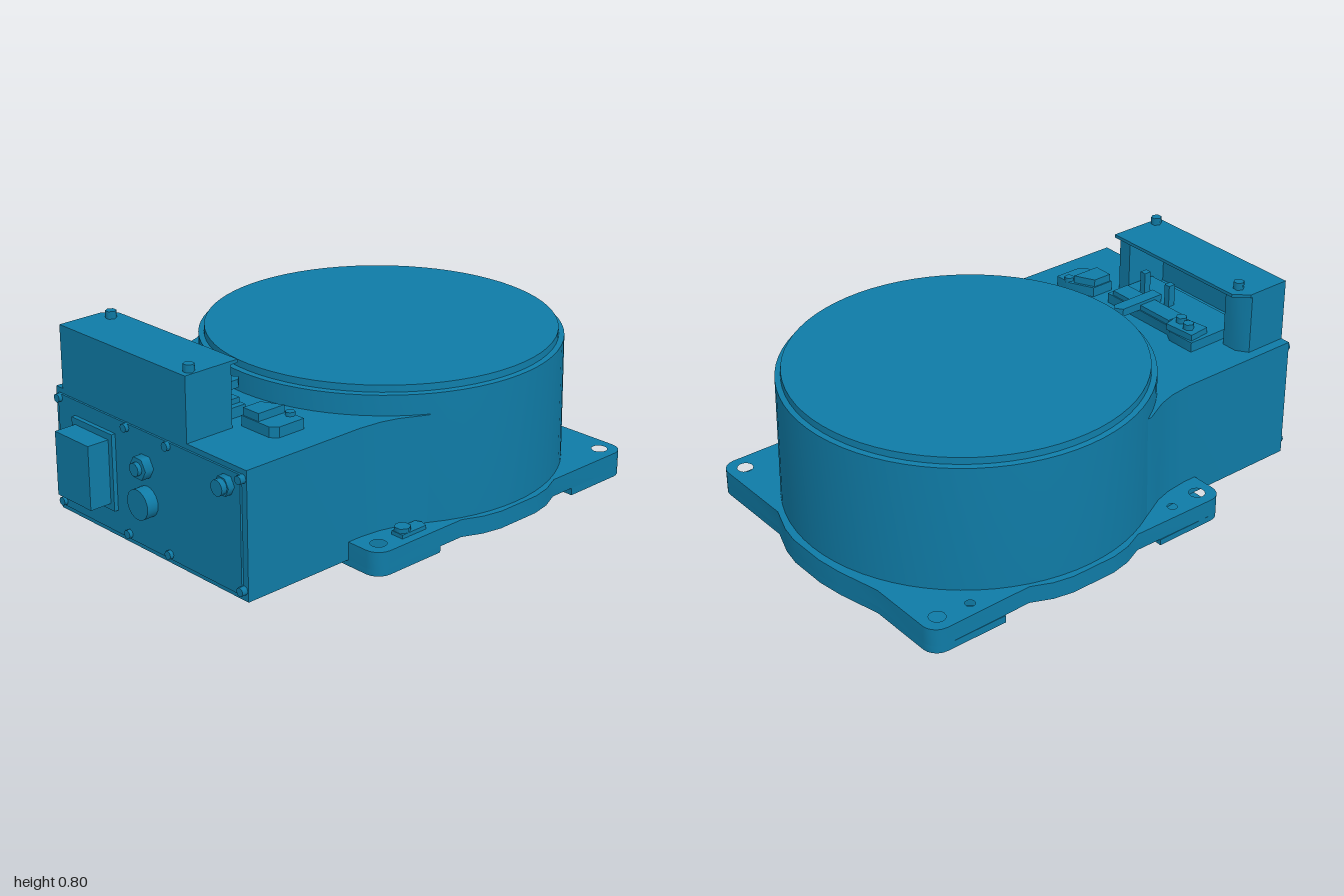
import * as THREE from 'three';
import { toCreasedNormals } from 'three/addons/utils/BufferGeometryUtils.js';

const material = new THREE.MeshStandardMaterial({ color: 0x0f7ba6 });
const CX = 0.265, CZ = -0.012; // drum axis

export function createModel() {
  const root = new THREE.Group();

  const add = (name, geometry, parent = root) => {
    const mesh = new THREE.Mesh(geometry, material);
    mesh.name = name;
    parent.add(mesh);
    return mesh;
  };
  const group = (name) => {
    const g = new THREE.Group();
    g.name = name;
    root.add(g);
    return g;
  };
  // box given by its limits on each axis
  const block = (name, x0, x1, y0, y1, z0, z1, parent) =>
    add(name, new THREE.BoxGeometry(x1 - x0, y1 - y0, z1 - z0)
      .translate((x0 + x1) / 2, (y0 + y1) / 2, (z0 + z1) / 2), parent);
  // plan outline [x, z] raised from y0 to y1, with round holes [x, z, r]
  const slab = (name, pts, y0, y1, parent, holes = []) => {
    const shape = new THREE.Shape(pts.map(([x, z]) => new THREE.Vector2(x, -z)));
    for (const [x, z, r] of holes) {
      shape.holes.push(new THREE.Path().absarc(x, -z, r, 0, Math.PI * 2, true));
    }
    const g = new THREE.ExtrudeGeometry(shape, { depth: y1 - y0, bevelEnabled: false, curveSegments: 8 });
    g.rotateX(-Math.PI / 2).translate(0, y0, 0);
    return add(name, toCreasedNormals(g, 0.6), parent);
  };
  const upright = (name, x, z, r, y0, y1, sides, parent) =>
    add(name, new THREE.CylinderGeometry(r, r, y1 - y0, sides).translate(x, (y0 + y1) / 2, z), parent);
  // cylinder along x, for the connector face
  const sideways = (name, x0, x1, y, z, r, sides, parent) =>
    add(name, new THREE.CylinderGeometry(r, r, x1 - x0, sides).rotateZ(Math.PI / 2)
      .translate((x0 + x1) / 2, y, z), parent);
  const arc = (cx, cz, r, from, to, n) => Array.from({ length: n + 1 }, (_, i) => {
    const a = THREE.MathUtils.degToRad(from + (to - from) * i / n);
    return [cx + r * Math.cos(a), cz + r * Math.sin(a)];
  });

  // Drum with a stepped rim
  const profile = [[0, 0.03], [0.704, 0.03], [0.708, 0.1], [0.7, 0.598], [0.679, 0.601], [0.677, 0.627], [0, 0.627]]
    .map(([r, y]) => new THREE.Vector2(r, y));
  add('drum', toCreasedNormals(new THREE.LatheGeometry(profile, 72), 0.5)).position.set(CX, 0, CZ);

  // Base plate with rounded corners, bulged edges and mounting holes
  const R = 0.06, X0 = -0.415, X1 = 0.945, Z0 = -0.695, Z1 = 0.665;
  const backRight = arc(X1 - R, Z0 + R, R, -90, 0, 5);
  const frontRight = arc(X1 - R, Z1 - R, R, 0, 90, 5);
  const frontLeft = arc(X0 + R, Z1 - R, R, 90, 180, 5);
  const backLeft = arc(X0 + R, Z0 + R, R, 180, 270, 5);
  const rightBulge = [[X1, -0.37], [0.985, -0.2], [1, -0.09], [1, 0.07], [0.985, 0.15], [X1, 0.26]];
  const frontBulge = [[0.52, Z1], [0.44, 0.7], [0.36, 0.716], [0.17, 0.716], [0.09, 0.7], [0.01, Z1]];
  const backBulge = frontBulge.map(([x, z]) => [x, -0.025 - z]).reverse();
  const holes = [
    [-0.345, -0.625, 0.031], [0.875, -0.625, 0.031], [-0.345, 0.595, 0.031], [0.875, 0.595, 0.031],
    [-0.21, -0.635, 0.019], [0.74, -0.635, 0.019],
  ];
  const base = group('base');
  slab('basePlate', [...backBulge, ...backRight, ...rightBulge, ...frontRight,
    ...frontBulge, ...frontLeft, ...backLeft], 0.03, 0.1, base, holes);

  // Feet along both sides, cut away around the round underside
  const inner = arc(CX, CZ, 0.66, 56, -56, 20);
  const mirrorX = (pts) => pts.map(([x, z]) => [2 * CX - x, z]);
  slab('rightFoot', [[0.63, Z0], ...backRight, ...rightBulge, ...frontRight, [0.63, Z1], ...inner],
    0, 0.03, base, holes.filter((h) => h[0] > 0));
  slab('leftFoot', mirrorX([[0.63, Z0], ...backRight, ...frontRight, [0.63, Z1], ...inner]),
    0.006, 0.03, base, holes.filter((h) => h[0] < 0));

  // Small clamp on the front left corner
  slab('clampPad', [[-0.26, 0.575], [-0.14, 0.575], [-0.13, 0.6], [-0.14, 0.63], [-0.26, 0.63]], 0.1, 0.115, base);
  upright('clampBolt', -0.23, 0.6, 0.032, 0.1, 0.132, 6, base);

  // Rear housing flaring into the drum
  const flare = [[-0.885, 0.515], [-0.36, 0.515], [-0.27, 0.525], [-0.2, 0.545], [-0.1, 0.595], [0.1, 0.6]];
  slab('housing', [...flare, ...flare.map(([x, z]) => [x, -0.025 - z]).reverse()], 0.03, 0.52);

  // Connector face
  const face = group('connectorFace');
  block('facePanel', -0.893, -0.885, 0.05, 0.5, -0.52, 0.49, face);
  block('plugFlange', -0.91, -0.89, 0.14, 0.44, -0.42, -0.185, face);
  block('plug', -1, -0.9, 0.165, 0.415, -0.4, -0.205, face);
  sideways('roundSocket', -0.94, -0.885, 0.235, -0.01, 0.058, 20, face);
  sideways('upperNut', -0.93, -0.885, 0.37, -0.015, 0.045, 6, face);
  sideways('upperCap', -0.947, -0.93, 0.37, -0.015, 0.025, 12, face);
  sideways('cornerNut', -0.92, -0.885, 0.445, 0.425, 0.038, 6, face);
  sideways('cornerCap', -0.942, -0.92, 0.445, 0.425, 0.03, 12, face);
  for (const y of [0.07, 0.485]) {
    for (const z of [-0.51, -0.12, 0.11, 0.495]) sideways('faceScrew', -0.908, -0.885, y, z, 0.017, 8, face);
  }

  // Hood, open towards the drum
  const hood = group('hood');
  block('hoodBack', -0.885, -0.865, 0.52, 0.76, -0.5, 0.207, hood);
  block('hoodFrontEnd', -0.87, -0.68, 0.52, 0.76, 0.15, 0.207, hood);
  slab('hoodRearEnd', [[-0.87, -0.39], [-0.87, -0.5], [-0.71, -0.5], [-0.68, -0.455], [-0.68, -0.39]],
    0.52, 0.76, hood);
  slab('hoodTop', [[-0.885, 0.207], [-0.65, 0.207], [-0.65, -0.45], [-0.7, -0.5], [-0.885, -0.5]],
    0.755, 0.768, hood);
  for (const [x, z] of [[-0.845, 0.18], [-0.705, -0.43]]) {
    upright('hoodBoltHead', x, z, 0.021, 0.765, 0.797, 6, hood);
  }

  // Latch mechanism in front of the hood
  const latch = group('latch');
  slab('latchPlate', [[-0.8, 0.145], [-0.565, 0.145], [-0.565, -0.2], [-0.54, -0.24], [-0.54, -0.36], [-0.8, -0.36]],
    0.52, 0.56, latch);
  block('latchRail', -0.645, -0.57, 0.56, 0.58, -0.2, 0.12, latch);
  slab('latchLever', [[-0.68, 0.01], [-0.48, 0.01], [-0.46, -0.01], [-0.48, -0.04], [-0.68, -0.04]],
    0.56, 0.592, latch);
  slab('latchClip', [[-0.64, -0.34], [-0.55, -0.35], [-0.54, -0.22], [-0.62, -0.2]], 0.56, 0.585, latch);
  for (const [x, z] of [[-0.58, -0.3], [-0.595, -0.245]]) upright('latchBolt', x, z, 0.022, 0.58, 0.608, 6, latch);
  for (const z of [-0.08, 0.06]) block('latchStop', -0.7, -0.67, 0.56, 0.65, z - 0.013, z + 0.013, latch);

  // Separate stop block beside the latch
  const stop = group('stopBlock');
  slab('stopBase', [[-0.645, 0.215], [-0.55, 0.215], [-0.505, 0.31], [-0.505, 0.385], [-0.62, 0.385], [-0.645, 0.36]],
    0.52, 0.56, stop);
  slab('stopUpper', [[-0.64, 0.22], [-0.56, 0.22], [-0.52, 0.3], [-0.64, 0.3]], 0.56, 0.59, stop);
  upright('stopScrew', -0.52, 0.33, 0.018, 0.555, 0.575, 8, stop);

  return root;
}
